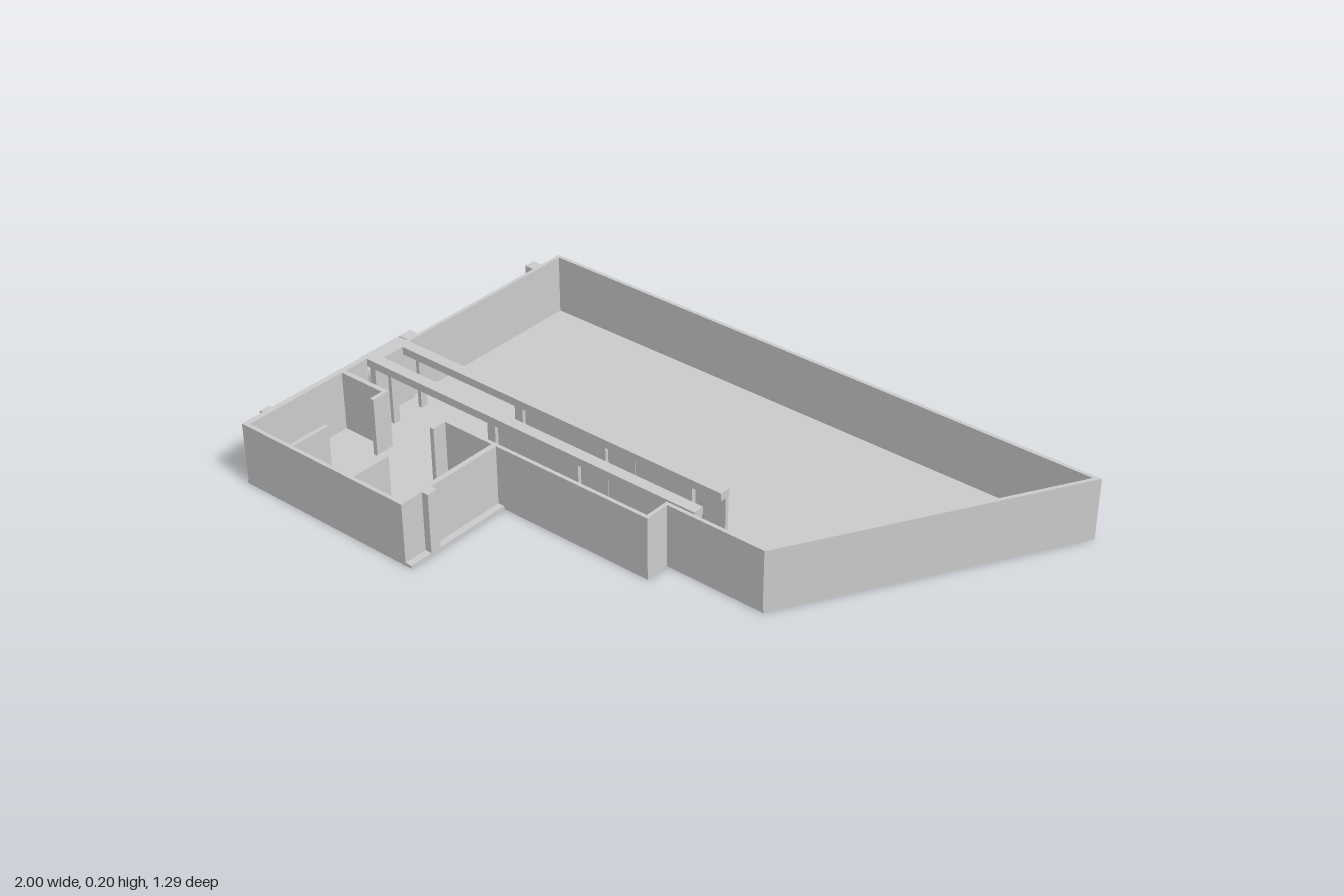
import * as THREE from 'three';

const H = 0.2;      // wall top
const F = 0.01;     // floor thickness
const T = 0.012;    // outer wall thickness

export function createModel() {
  const model = new THREE.Group();
  const mat = new THREE.MeshStandardMaterial({ color: 0xcccccc, flatShading: true });

  // Box given by its plan extents and height range
  function block(name, x0, x1, z0, z1, y0 = F, y1 = H) {
    const mesh = new THREE.Mesh(new THREE.BoxGeometry(x1 - x0, y1 - y0, z1 - z0), mat);
    mesh.position.set((x0 + x1) / 2, (y0 + y1) / 2, (z0 + z1) / 2);
    mesh.name = name;
    model.add(mesh);
  }

  // Prism raised from a plan outline of [x, z] corners
  function prism(name, corners, y0, y1) {
    const shape = new THREE.Shape(corners.map(([x, z]) => new THREE.Vector2(x, -z)));
    const geo = new THREE.ExtrudeGeometry(shape, { depth: y1 - y0, bevelEnabled: false });
    geo.rotateX(-Math.PI / 2);
    geo.translate(0, y0, 0);
    const mesh = new THREE.Mesh(geo, mat);
    mesh.name = name;
    model.add(mesh);
  }

  // Floor slab
  prism('floor', [[-0.99, -0.645], [1, -0.645], [0.505, 0.197], [0.178, 0.197],
    [0.178, 0.278], [-0.343, 0.278], [-0.343, 0.645], [-0.99, 0.645]], 0, F);

  // Main hall walls
  block('backWall', -0.957, 0.975, -0.645, -0.645 + T);
  prism('slantedWall', [[1, -0.645], [0.505, 0.197], [0.498, 0.185], [0.979, -0.633], [0.972, -0.645]], F, H);
  block('hallSideWall', -0.957, -0.945, -0.633, 0.03);
  block('hallFrontWall', 0.166, 0.503, 0.185, 0.197);
  block('jogWall', 0.166, 0.178, 0.197, 0.278);
  block('corridorFrontWall', -0.57, 0.166, 0.266, 0.278);

  // Outside piers along the hall side
  block('pier', -0.99, -0.957, -0.565, -0.527);
  block('pier', -0.99, -0.957, -0.02, 0.025);

  // Passage: two partition lines with headers, panels and posts
  for (const [z0, z1] of [[0.028, 0.064], [0.142, 0.178]]) {
    const zm = (z0 + z1) / 2;
    block('header', -0.99, 0.255, z0, z1, 0.175, H);
    block('panel', -0.06, 0.255, zm - 0.014, zm - 0.002, F, 0.175);
    block('panel', -0.51, -0.06, zm - 0.012, zm, F, 0.175);
    for (const x of [-0.885, -0.475, -0.165, 0.145]) {
      block('post', x - 0.006, x + 0.006, zm - 0.012, zm + 0.012, F, 0.175);
    }
  }
  block('passageEndWall', -0.957, -0.937, 0.028, 0.178);
  block('passageEndHeader', -0.99, -0.937, 0.064, 0.142, 0.175, H);

  // Front wing outer walls
  block('wingSideWall', -0.988, -0.97, 0.178, 0.645);
  block('wingFrontWall', -0.97, -0.365, 0.632, 0.645);
  block('wingInnerSideWall', -0.382, -0.365, 0.278, 0.632);
  block('wingBackWall', -0.97, -0.795, 0.262, 0.278);
  block('pier', -1, -0.988, 0.532, 0.568);
  block('pier', -0.365, -0.343, 0.532, 0.568);

  // Room partitions on both sides of the entrance, each with a doorway
  for (const x of [-0.808, -0.572]) {
    block('roomPartition', x, x + 0.014, 0.278, 0.325);
    block('roomPartition', x, x + 0.014, 0.5, 0.632);
  }

  // Raised entrance floor
  prism('entranceFloor', [[-0.84, 0.178], [-0.512, 0.178], [-0.512, 0.262], [-0.572, 0.262],
    [-0.572, 0.632], [-0.794, 0.632], [-0.794, 0.262], [-0.84, 0.262]], F, F + 0.004);

  return model;
}
